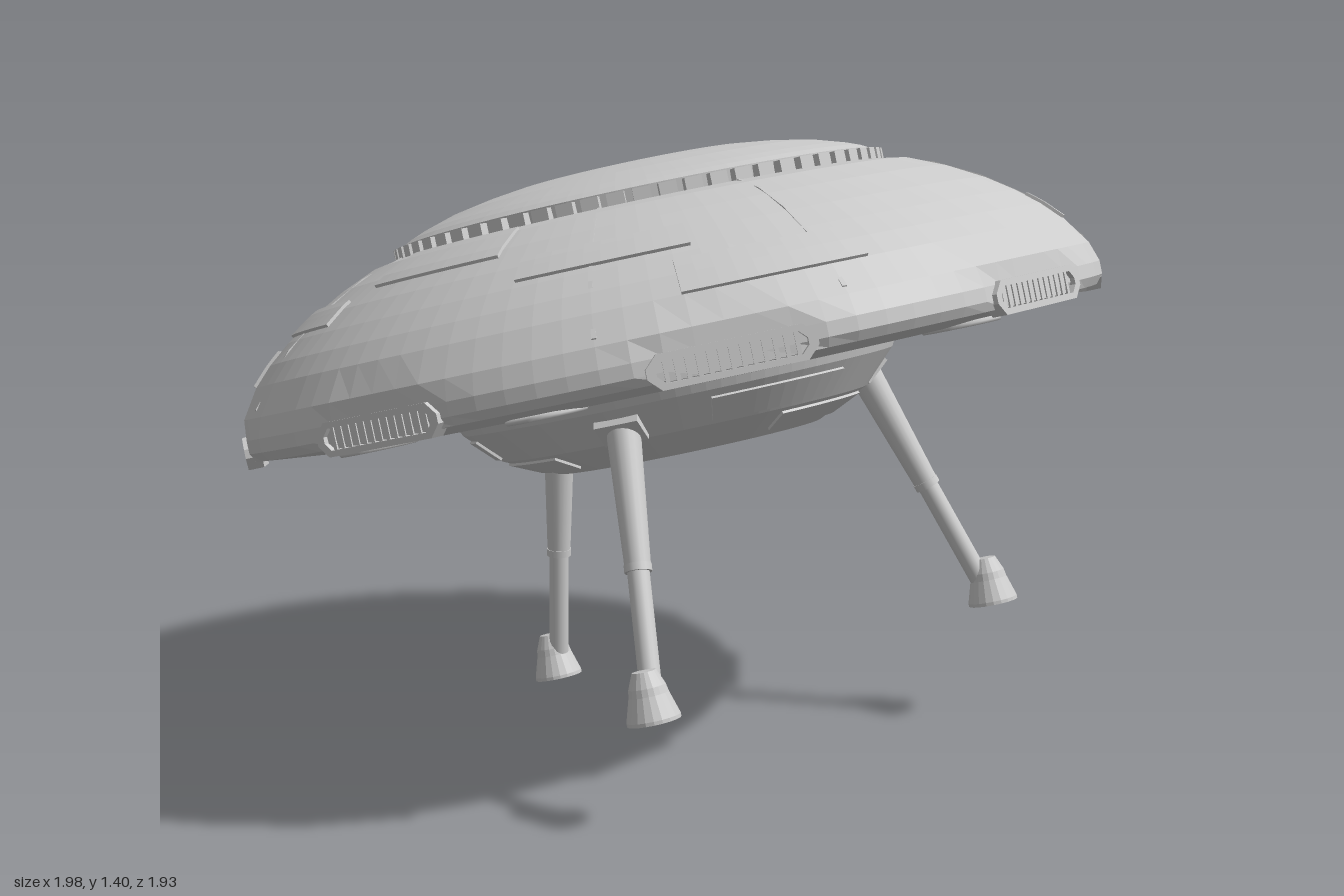
import * as THREE from 'three';

const rad = THREE.MathUtils.degToRad;
const V = (x, y, z) => new THREE.Vector3(x, y, z);
const flat = new THREE.MeshStandardMaterial({ color: 0xcccccc, flatShading: true });
const smooth = new THREE.MeshStandardMaterial({ color: 0xcccccc });

// Profiles as [radius, height] pairs
const HUB = [[0, -0.15], [0.22, -0.15], [0.3, -0.18], [0.31, -0.18], [0.43, -0.125], [0.505, -0.05],
  [0.535, 0.01], [0.56, 0.015], [0.59, -0.03]];
const SHELL = [[0.8, -0.025], [0.985, -0.005], [1, 0.015], [1, 0.045], [0.985, 0.09], [0.94, 0.155],
  [0.9, 0.197], [0.85, 0.238], [0.79, 0.28], [0.71, 0.325], [0.63, 0.36], [0.575, 0.37], [0.57, 0.36], [0.5, 0.36]];
const DOME = [[0.545, 0.35], [0.55, 0.4], [0.53, 0.411], [0.5, 0.423], [0.43, 0.445], [0.35, 0.461],
  [0.28, 0.471], [0.275, 0.463], [0, 0.466]];

function add(parent, name, geometry, material = flat) {
  const mesh = new THREE.Mesh(geometry, material);
  mesh.name = name;
  parent.add(mesh);
  return mesh;
}

const lathe = (pts, segments) =>
  new THREE.LatheGeometry(pts.map(([x, y]) => new THREE.Vector2(x, y)), segments);

// Height of a profile section at radius r
function heightAt(pts, r) {
  for (let i = 0; i < pts.length - 1; i++) {
    const [a, ha] = pts[i], [b, hb] = pts[i + 1];
    if (a !== b && (r - a) * (r - b) <= 0) return ha + (hb - ha) * (r - a) / (b - a);
  }
  return pts[0][1];
}

// Raised plate following a lathe surface from radius r0 (low edge) to r1, with a sunk border
function plate(pts, centre, half, r0, r1, lift) {
  const nu = 12, nv = 6;
  const g = new THREE.PlaneGeometry(1, 1, nu, nv);
  const p = g.attributes.position;
  for (let i = 0; i < p.count; i++) {
    const iu = i % (nu + 1), iv = nv - Math.floor(i / (nu + 1));
    const edge = iu === 0 || iu === nu || iv === 0 || iv === nv;
    const u = THREE.MathUtils.clamp((iu - 1) / (nu - 2), 0, 1);
    const v = THREE.MathUtils.clamp((iv - 1) / (nv - 2), 0, 1);
    const phi = rad(centre + (u * 2 - 1) * half);
    let r = r0 + (r1 - r0) * v;
    let h = heightAt(pts, r);
    const n = new THREE.Vector2(heightAt(pts, r1) - heightAt(pts, r0), r0 - r1).normalize();
    const offset = edge ? -0.006 : lift;
    r += n.x * offset;
    h += n.y * offset;
    p.setXYZ(i, r * Math.sin(phi), h, r * Math.cos(phi));
  }
  g.computeVertexNormals();
  return g;
}

// Long octagon outline for the vents
function ventOutline(Type, w, h, c) {
  const s = new Type();
  [[-w + c, -h], [w - c, -h], [w, -h + c], [w, h - c], [w - c, h], [-w + c, h], [-w, h - c], [-w, -h + c]]
    .forEach(([x, y], i) => (i ? s.lineTo(x, y) : s.moveTo(x, y)));
  s.closePath();
  return s;
}

function makeVent() {
  const vent = new THREE.Group();
  vent.name = 'rimVent';
  const ring = ventOutline(THREE.Shape, 0.172, 0.036, 0.026);
  ring.holes.push(ventOutline(THREE.Path, 0.152, 0.023, 0.016));
  add(vent, 'ventFrame', new THREE.ExtrudeGeometry(ring, { depth: 0.035, bevelEnabled: false }));
  add(vent, 'ventBack', new THREE.ExtrudeGeometry(ventOutline(THREE.Shape, 0.16, 0.03, 0.02),
    { depth: 0.012, bevelEnabled: false }));
  for (let i = -6; i <= 6; i++) {
    add(vent, 'ventRib', new THREE.BoxGeometry(0.009, 0.046, 0.026)).position.set(i * 0.022, 0, 0.014);
  }
  return vent;
}

function rod(parent, name, a, b, ra, rb) {
  const m = add(parent, name, new THREE.CylinderGeometry(rb, ra, a.distanceTo(b), 20), smooth);
  m.position.copy(a).add(b).multiplyScalar(0.5);
  m.quaternion.setFromUnitVectors(V(0, 1, 0), b.clone().sub(a).normalize());
}

function makeLeg() {
  const leg = new THREE.Group();
  leg.name = 'landingLeg';
  const top = V(0, -0.06, 0.435), foot = V(0, -0.7, 0.645);
  const at = t => top.clone().lerp(foot, t);
  rod(leg, 'upperStrut', top, at(0.52), 0.039, 0.028);
  rod(leg, 'strutCollar', at(0.5), at(0.525), 0.03, 0.03);
  rod(leg, 'lowerStrut', at(0.5), at(0.9), 0.024, 0.024);
  const socket = add(leg, 'legSocket', new THREE.BoxGeometry(0.1, 0.04, 0.07));
  socket.position.set(0, -0.09, 0.455);
  socket.rotation.x = -0.7;
  add(leg, 'footPad', lathe([[0, 0], [0.058, 0], [0.058, 0.008], [0.043, 0.058], [0.04, 0.075],
    [0.026, 0.108], [0, 0.11]], 20)).position.copy(foot);
  return leg;
}

export function createModel() {
  const model = new THREE.Group();
  model.name = 'flyingSaucer';
  const ship = new THREE.Group();
  ship.name = 'tiltedSaucer';
  ship.position.set(0, 0.86, 0.003);
  ship.rotation.x = rad(-15);
  model.add(ship);

  // Hull, with eight flats cut into the rim where the vents sit
  const hull = lathe([...HUB, ...SHELL], 96);
  const p = hull.attributes.position;
  for (let i = 0; i < p.count; i++) {
    for (let k = 0; k < 8; k++) {
      const dx = Math.sin(k * Math.PI / 4), dz = Math.cos(k * Math.PI / 4);
      const over = p.getX(i) * dx + p.getZ(i) * dz - 0.978;
      if (over > 0) p.setXYZ(i, p.getX(i) - over * dx, p.getY(i), p.getZ(i) - over * dz);
    }
  }
  add(ship, 'hull', hull);
  add(ship, 'dome', lathe(DOME, 96));

  // Toothed ring around the dome
  for (let i = 0; i < 64; i++) {
    const a = i / 64 * Math.PI * 2;
    const tooth = add(ship, 'domeTooth', new THREE.BoxGeometry(0.038, 0.034, 0.03));
    tooth.position.set(0.557 * Math.sin(a), 0.379, 0.557 * Math.cos(a));
    tooth.rotation.y = a;
  }

  // Vents around the rim
  for (let k = 0; k < 8; k++) {
    const a = k * Math.PI / 4;
    const vent = makeVent();
    vent.position.set(0.954 * Math.sin(a), 0.016, 0.954 * Math.cos(a));
    vent.rotation.y = a;
    ship.add(vent);
  }

  // Raised plates and radial seams, mirrored to all four quarters
  const upper = SHELL.slice(3, 12);
  for (const turn of [c => c, c => -c, c => 180 - c, c => 180 + c]) {
    add(ship, 'middlePlate', plate(upper, turn(58.5), 12.5, 0.835, 0.77, 0.007));
    add(ship, 'outerPlate', plate(upper, turn(37), 12, 0.94, 0.87, 0.007));
    for (const c of [30, 60]) add(ship, 'hullSeam', plate(upper, turn(c), 0.3, 0.975, 0.58, 0.003));
  }
  for (const c of [90, -90]) add(ship, 'sidePlate', plate(upper, c, 14, 0.74, 0.62, 0.007));

  // Round ports under the hull
  for (const c of [0, 72, 108, 180, -72, -108]) {
    const port = add(ship, 'undersidePort', new THREE.TorusGeometry(0.08, 0.007, 6, 28), smooth);
    port.position.set(0.785 * Math.sin(rad(c)), -0.025, 0.785 * Math.cos(rad(c)));
    port.rotation.x = Math.PI / 2;
  }

  // Legs and the hub plates between them
  for (const c of [51, 171, -69]) {
    const leg = makeLeg();
    leg.rotation.y = rad(c);
    ship.add(leg);
    add(ship, 'hubPlate', plate(HUB.slice(4, 6), c + 45, 20, 0.44, 0.49, 0.006));
    add(ship, 'hubLowerPlate', plate(HUB.slice(3, 5), c + 70, 22, 0.345, 0.415, 0.006));
  }
  return model;
}
